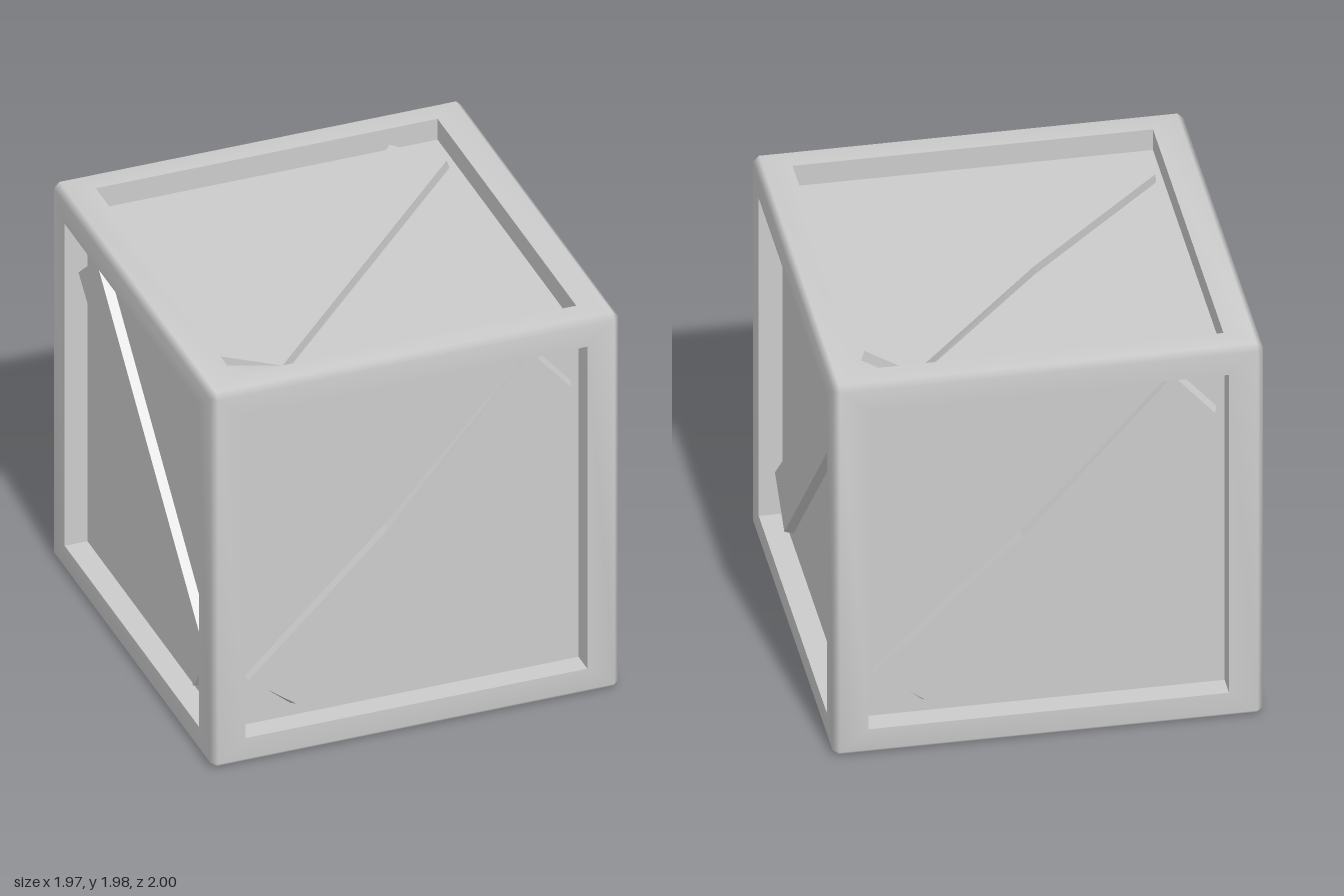
import * as THREE from 'three';
import { mergeVertices } from 'three/addons/utils/BufferGeometryUtils.js';

const HALF = [0.985, 0.9875, 1]; // half size along x, y, z
const BEVEL = 0.028, RECESS = 0.11, THICK = 0.045;

const X = new THREE.Vector3(1, 0, 0), Y = new THREE.Vector3(0, 1, 0), Z = new THREE.Vector3(0, 0, 1);
const neg = (v) => v.clone().negate();

// Each side: its in-plane axes u and v (u x v faces outward) and half opening along them
const SIDES = [
  { name: 'front', u: X, v: Y, open: [0.825, 0.85] },
  { name: 'back', u: neg(X), v: Y, open: [0.825, 0.85] },
  { name: 'left', u: neg(Z), v: Y, open: [0.836, 0.85] },
  { name: 'right', u: Y, v: neg(Z), open: [0.85, 0.836] },
  { name: 'top', u: X, v: neg(Z), open: [0.825, 0.862] },
  { name: 'bottom', u: neg(X), v: neg(Z), open: [0.825, 0.862] },
];

const extent = (axis) => Math.abs(axis.x) * HALF[0] + Math.abs(axis.y) * HALF[1] + Math.abs(axis.z) * HALF[2];
const rect = (a, b, z) => [[-a, -b, z], [a, -b, z], [a, b, z], [-a, b, z]].map((p) => new THREE.Vector3(...p));

function toGeometry(triangles) {
  return new THREE.BufferGeometry().setFromPoints(triangles.flat());
}
const quad = (a, b, c, d) => [[a, b, c], [a, c, d]];

// Matrix standing a flat part up on one side of the crate
function sideMatrix({ u, v }) {
  return new THREE.Matrix4().makeBasis(u, v, new THREE.Vector3().crossVectors(u, v));
}

// Smooth outer skin: six rings around the openings, bevelled edges and corners
function frameGeometry() {
  const tris = [];
  for (const side of SIDES) {
    const { u, v, open } = side, m = sideMatrix(side);
    const h = extent(new THREE.Vector3().crossVectors(u, v));
    const outer = rect(extent(u) - BEVEL, extent(v) - BEVEL, h).map((p) => p.applyMatrix4(m));
    const inner = rect(...open, h).map((p) => p.applyMatrix4(m));
    for (let i = 0; i < 4; i++) {
      const j = (i + 1) % 4;
      tris.push(...quad(outer[i], outer[j], inner[j], inner[i]));
    }
  }
  // corner point lying on the face across the given axis
  const corner = (s, axis) => new THREE.Vector3(...s.map((k, i) => k * (HALF[i] - (i === axis ? 0 : BEVEL))));
  for (const x of [-1, 1]) for (const y of [-1, 1]) for (const z of [-1, 1]) {
    const s = [x, y, z];
    tris.push([corner(s, 0), corner(s, 1), corner(s, 2)]);
    for (let a = 0; a < 3; a++) {
      if (s[a] > 0) continue;
      const t = s.slice(), j = (a + 1) % 3, k = (a + 2) % 3;
      t[a] = 1;
      tris.push(...quad(corner(s, j), corner(s, k), corner(t, k), corner(t, j)));
    }
  }
  // the skin is convex, so every face must look away from the centre
  for (const t of tris) {
    const n = t[1].clone().sub(t[0]).cross(t[2].clone().sub(t[0]));
    if (n.dot(t[0]) < 0) t.reverse();
  }
  const geometry = mergeVertices(toGeometry(tris), 1e-4);
  geometry.computeVertexNormals();
  return geometry;
}

// Inner walls of one opening
function wallGeometry(open, h) {
  const front = rect(...open, h), back = rect(...open, h - RECESS);
  const tris = front.flatMap((p, i) => {
    const j = (i + 1) % 4;
    return quad(p, front[j], back[j], back[i]);
  });
  const geometry = toGeometry(tris);
  geometry.computeVertexNormals();
  return geometry;
}

// Diagonal plank with slightly flared sides and a shallow bend in one edge
function braceGeometry(h) {
  const foot = [[-0.79, -0.595], [-0.565, -0.785], [0.788, 0.618], [0.595, 0.843], [-0.11, 0.06]];
  const face = [[-0.785, -0.592], [-0.555, -0.765], [0.772, 0.612], [0.582, 0.832], [-0.11, 0.058]];
  const at = (list, z) => list.map(([x, y]) => new THREE.Vector3(x, y, z));
  const low = at(foot, h - RECESS), high = at(face, h - RECESS + THICK);
  const tris = low.flatMap((p, i) => {
    const j = (i + 1) % 5;
    return quad(p, low[j], high[j], high[i]);
  });
  const [a, b, c, d, k] = high;
  tris.push([a, b, k], [b, c, k], [c, d, k]);
  const geometry = toGeometry(tris);
  geometry.computeVertexNormals();
  return geometry;
}

export function createModel() {
  const model = new THREE.Group();
  model.name = 'crate';
  const material = new THREE.MeshStandardMaterial({ color: 0xcccccc });
  const add = (parent, name, geometry) => {
    const mesh = new THREE.Mesh(geometry, material);
    mesh.name = name;
    parent.add(mesh);
    return mesh;
  };

  const body = new THREE.Group();
  body.name = 'body';
  body.position.y = HALF[1];
  model.add(body);

  add(body, 'frame', frameGeometry());

  // recessed panel, opening walls and diagonal brace on every side
  for (const side of SIDES) {
    const group = new THREE.Group();
    group.name = side.name + 'Side';
    group.quaternion.setFromRotationMatrix(sideMatrix(side));
    const h = extent(new THREE.Vector3().crossVectors(side.u, side.v));
    const panel = add(group, 'panel', new THREE.PlaneGeometry(2 * side.open[0], 2 * side.open[1]));
    panel.position.z = h - RECESS;
    add(group, 'openingWalls', wallGeometry(side.open, h));
    add(group, 'brace', braceGeometry(h));
    body.add(group);
  }
  return model;
}
